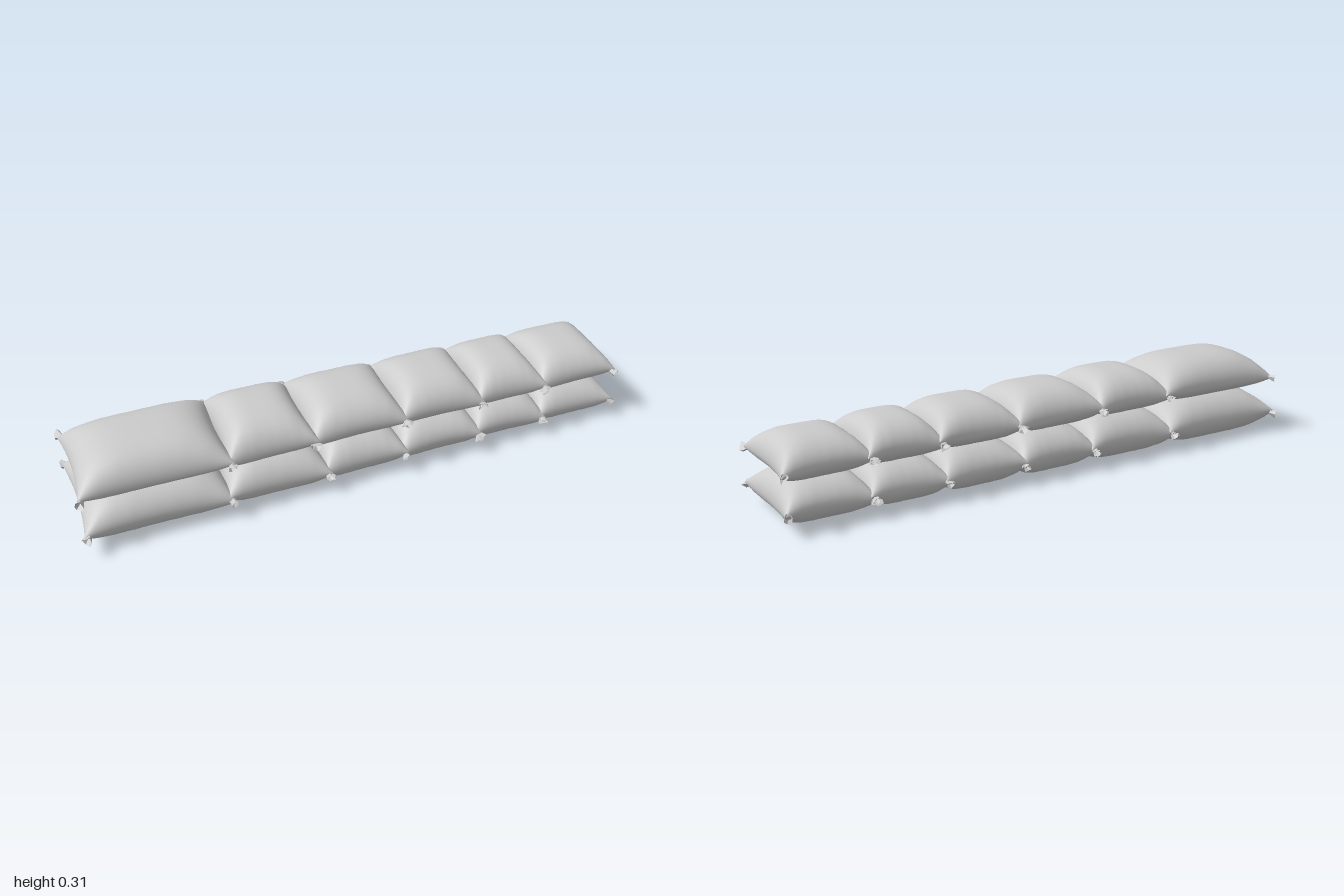
import * as THREE from 'three';
import { mergeGeometries, mergeVertices } from 'three/addons/utils/BufferGeometryUtils.js';

const material = new THREE.MeshStandardMaterial({ color: 0xcccccc });
const clothMaterial = new THREE.MeshStandardMaterial({ color: 0xcccccc, side: THREE.DoubleSide, flatShading: true });

// Small seeded generator for crumples
let seed = 7;
const rand = () => ((seed = (seed * 16807) % 2147483647) / 2147483647) * 2 - 1;

// Rounded falloff from 1 in the middle to 0 at the rim
const bulge = (t, power) => Math.sqrt(Math.max(0, 1 - Math.abs(t) ** power));

// One half of a stuffed bag: a sheet lifted (side 1) or lowered (side -1) from the seam
function halfBag(b, side) {
  const geo = new THREE.PlaneGeometry(2, 2, 28, 24);
  const pos = geo.attributes.position;
  for (let i = 0; i < pos.count; i++) {
    const u = Math.sin(pos.getX(i) * Math.PI / 2);
    const v = Math.sin(-pos.getY(i) * Math.PI / 2);
    const height = side > 0 ? b.top - b.seam : b.seam - b.bottom;
    const profile = side > 0 ? bulge(u, 3.6) * bulge(v, 2.7) : bulge(u, 4) * bulge(v, 4);
    // Gathers that run in from the rim and fade towards the middle
    const gather = 0.05 * (Math.sin(9 * v + b.phase) * u ** 4 + Math.sin(11 * u + b.phase) * v ** 4);
    // Edges bow in between the corners, and the seam sags a little
    const x = b.x + b.halfX * u - u * 0.016 * (1 - v * v);
    const z = b.z + b.halfZ * v - v * 0.012 * (1 - u * u);
    const sag = 0.006 * Math.sin(2.5 * u + 2 * v + b.phase) * (u * u + v * v) / 2 * (1 - profile);
    pos.setXYZ(i, x, b.seam + sag + side * height * profile * (1 - Math.abs(gather)), z);
  }
  if (side < 0) geo.index.array.reverse();
  geo.deleteAttribute('uv');
  geo.deleteAttribute('normal');
  return geo;
}

function makeBag(b) {
  const geo = mergeVertices(mergeGeometries([halfBag(b, 1), halfBag(b, -1)]), 1e-5);
  geo.computeVertexNormals();
  const mesh = new THREE.Mesh(geo, material);
  mesh.name = 'bagBody';
  return mesh;
}

// Crumpled flap of loose cloth flaring out of a bag corner
function makeEar(x, y, z, dirX, dirZ, size) {
  const geo = new THREE.ConeGeometry(size * 0.45, size, 6, 1, true);
  geo.rotateX(Math.PI);
  const pos = geo.attributes.position;
  const crumple = Array.from({ length: 6 }, () => [rand(), rand(), rand()]);
  for (let i = 0; i < pos.count; i++) {
    if (pos.getY(i) < 0) continue;
    const c = crumple[(i % 7) % 6];
    pos.setXYZ(i, pos.getX(i) + c[0] * size * 0.15, pos.getY(i) + c[1] * size * 0.2,
      pos.getZ(i) * 0.8 + c[2] * size * 0.15);
  }
  geo.computeVertexNormals();
  const ear = new THREE.Mesh(geo, clothMaterial);
  ear.name = 'cornerEar';
  ear.position.set(x, y, z);
  ear.quaternion.setFromUnitVectors(new THREE.Vector3(0, 1, 0), new THREE.Vector3(dirX, -0.2, dirZ).normalize());
  return ear;
}

// Row of six bags between the given seams; sizes shrink from first to last
function makeRow(name, r) {
  const row = new THREE.Group();
  row.name = name;
  const last = r.edges.length - 2;
  for (let i = 0; i <= last; i++) {
    const k = i / last;
    const at = ([a, c]) => a + (c - a) * k;
    // Neighbours press into each other, the row ends stay free
    const x0 = r.edges[i] - (i > 0 ? 0.014 : 0);
    const x1 = r.edges[i + 1] + (i < last ? 0.014 : 0);
    const b = {
      x: (x0 + x1) / 2, halfX: (x1 - x0) / 2, z: at(r.z), halfZ: at(r.halfZ),
      top: at(r.top), bottom: at(r.bottom), seam: at(r.seam), phase: i * 1.7 + r.phase,
    };
    const bag = new THREE.Group();
    bag.name = `${name}Bag${i + 1}`;
    bag.add(makeBag(b));
    for (const sx of [-1, 1]) for (const sz of [-1, 1]) {
      const free = (sx < 0 && i === 0) || (sx > 0 && i === last);
      const size = free ? 0.04 : 0.03 + 0.012 * Math.abs(rand());
      bag.add(makeEar(b.x + sx * (b.halfX - 0.014), b.seam - 0.002, b.z + sz * (b.halfZ - 0.006),
        sx * (free ? 0.7 : 0.12), sz, size));
    }
    row.add(bag);
  }
  return row;
}

export function createModel() {
  const model = new THREE.Group();
  model.name = 'sandbagWall';
  model.add(makeRow('lowerRow', {
    edges: [-0.985, -0.49, -0.145, 0.14, 0.43, 0.69, 0.985],
    z: [-0.012, -0.02], halfZ: [0.198, 0.178],
    bottom: [0.002, 0.01], seam: [0.075, 0.07], top: [0.178, 0.153], phase: 0.4,
  }));
  model.add(makeRow('upperRow', {
    edges: [-0.985, -0.48, -0.185, 0.145, 0.44, 0.69, 0.985],
    z: [-0.012, -0.02], halfZ: [0.182, 0.165],
    bottom: [0.165, 0.147], seam: [0.212, 0.195], top: [0.316, 0.281], phase: 2.1,
  }));
  return model;
}
